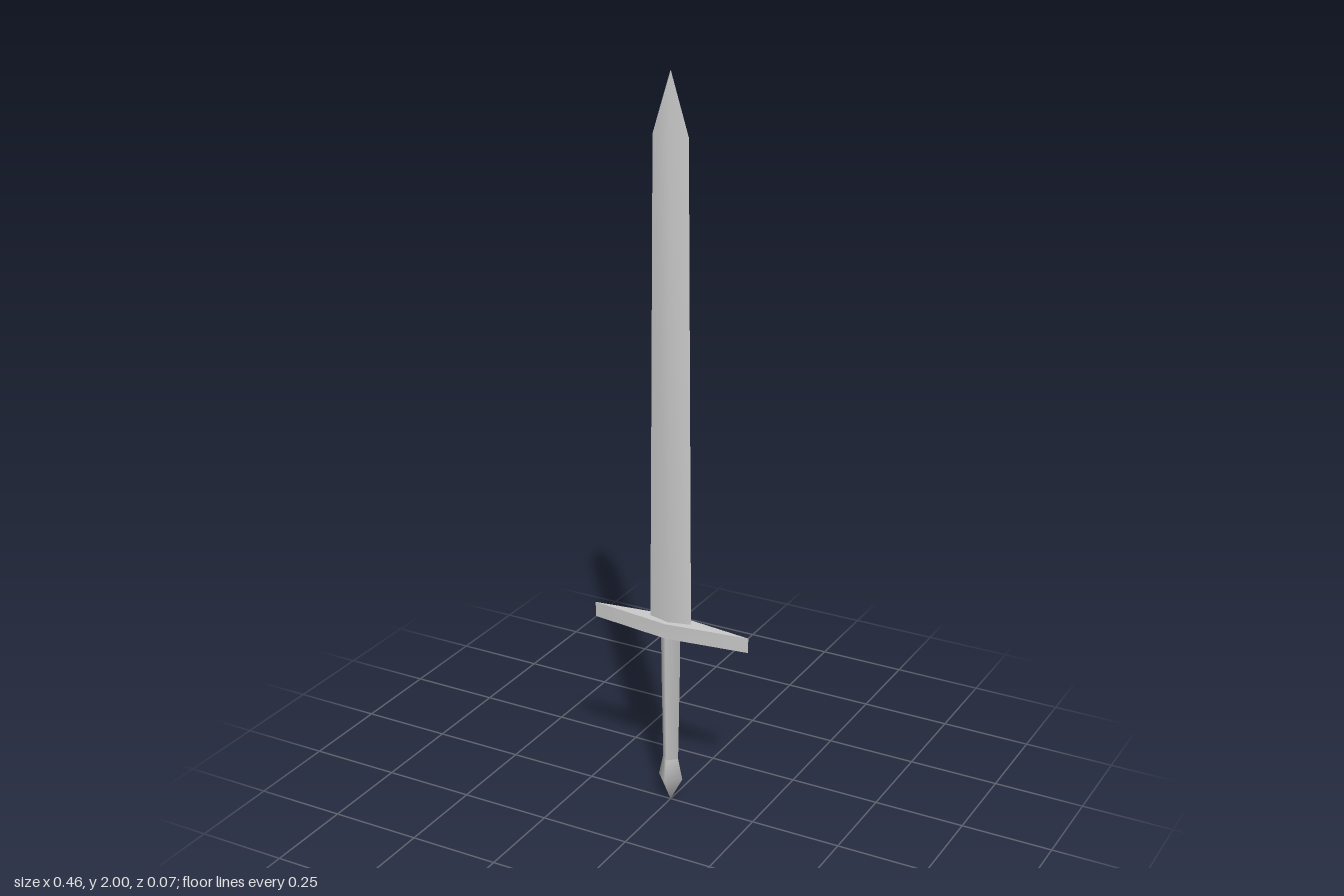
import * as THREE from 'three';
import { toCreasedNormals } from 'three/addons/utils/BufferGeometryUtils.js';

const material = new THREE.MeshStandardMaterial({ color: 0xcccccc });

// Four-sided turned shape with corners on the x and z axes; profile is [radius, y] from bottom to top
function turned(profile) {
  return new THREE.LatheGeometry(profile.map(([r, y]) => new THREE.Vector2(r, y)), 4);
}

export function createModel() {
  const model = new THREE.Group();
  const add = (name, geometry) => {
    const mesh = new THREE.Mesh(geometry, material);
    mesh.name = name;
    model.add(mesh);
  };

  // Blade: flattened diamond section, softly shaded ridge, sharp cutting edges
  const blade = turned([[0.061, 0.53], [0.05, 1.84], [0, 2]]).scale(1, 1, 0.26);
  add('blade', toCreasedNormals(blade, 0.6));

  // Crossguard: a thin rhombus plate
  const guard = new THREE.CylinderGeometry(0.229, 0.229, 0.042, 4)
    .scale(1, 1, 0.13)
    .translate(0, 0.521, 0);
  add('crossguard', toCreasedNormals(guard, 0.6));

  // Grip: tapers slightly towards the pommel
  add('grip', turned([[0.023, 0.13], [0.028, 0.4], [0.029, 0.51]]));

  // Pommel: flared, ending in a point
  add('pommel', turned([[0, 0], [0.036, 0.07], [0.023, 0.13]]));

  return model;
}
